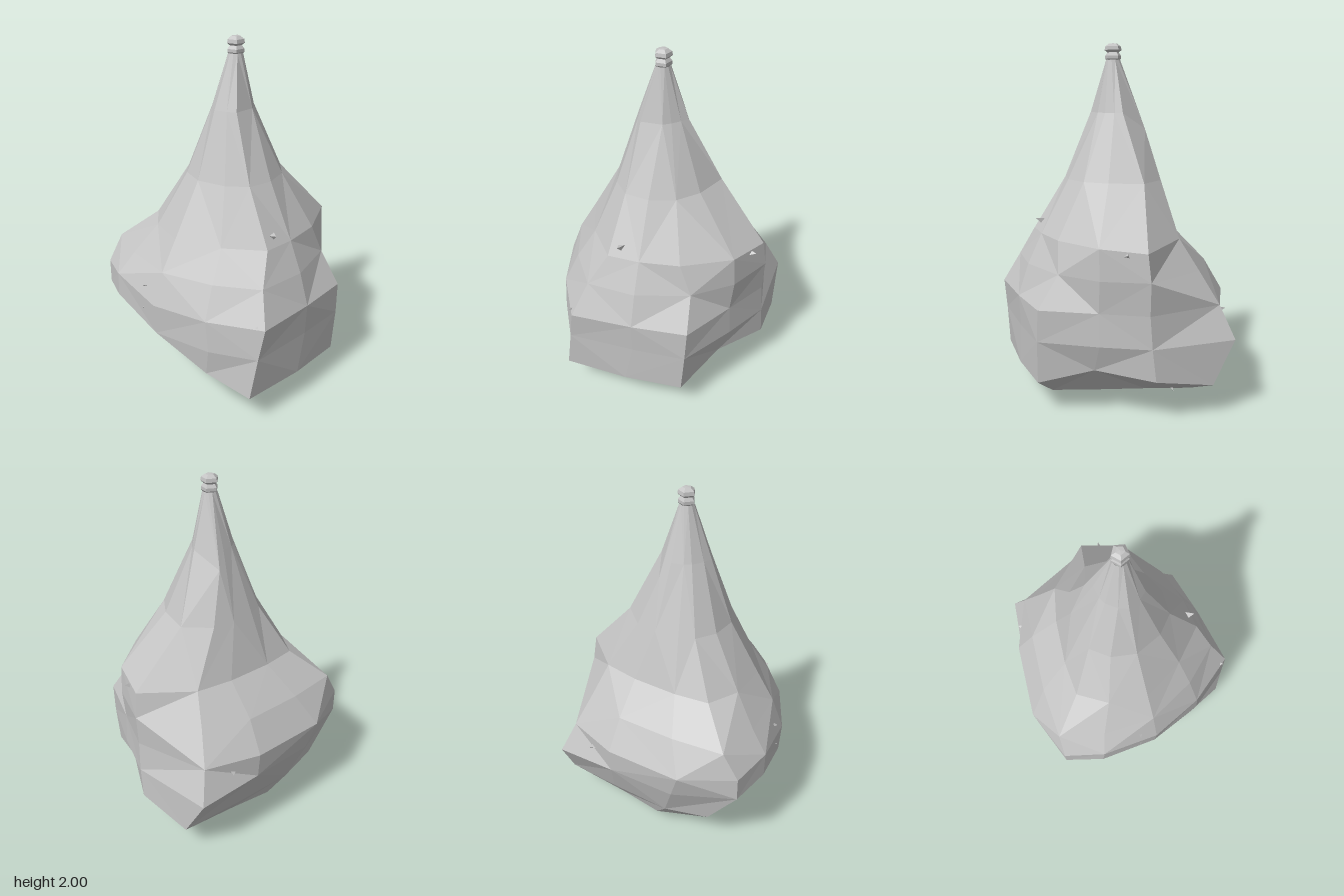
import * as THREE from 'three';

const COLS = 12;

// One cross-section: x, z pairs running front -> +x -> back -> -x,
// with optional height offsets per corner
function ring(y, xz, dy = []) {
  const pts = [];
  for (let i = 0; i < COLS; i++) {
    pts.push(new THREE.Vector3(xz[2 * i], y + (dy[i] ?? 0), xz[2 * i + 1]));
  }
  return pts;
}

// Flat-sided skin over the sections, closed to a point below
function skin(rings, bottom) {
  const pos = [];
  const tri = (...pts) => pts.forEach((p) => pos.push(p.x, p.y, p.z));
  for (let r = 0; r < rings.length - 1; r++) {
    const lo = rings[r], hi = rings[r + 1];
    for (let i = 0; i < COLS; i++) {
      const j = (i + 1) % COLS;
      if ((i + r) % 2) {
        tri(lo[i], lo[j], hi[j]);
        tri(lo[i], hi[j], hi[i]);
      } else {
        tri(lo[i], lo[j], hi[i]);
        tri(lo[j], hi[j], hi[i]);
      }
    }
  }
  for (let i = 0; i < COLS; i++) tri(rings[0][(i + 1) % COLS], rings[0][i], bottom);
  const g = new THREE.BufferGeometry();
  g.setAttribute('position', new THREE.Float32BufferAttribute(pos, 3));
  g.computeVertexNormals();
  return g;
}

export function createModel() {
  const model = new THREE.Group();
  const grey = new THREE.MeshStandardMaterial({ color: 0xc4c4c4, flatShading: true });
  grey.name = 'stoneGrey';

  const add = (name, geometry) => {
    const mesh = new THREE.Mesh(geometry, grey);
    mesh.name = name;
    model.add(mesh);
    return mesh;
  };

  // Faceted body sections, bottom to top
  const base = ring(0.09, [0, 0.45, 0.2, 0.46, 0.32, 0.22, 0.45, 0, 0.42, -0.28, 0.25, -0.37,
    0, -0.44, -0.14, -0.42, -0.21, -0.23, -0.2, 0, -0.23, 0.25, -0.2, 0.45],
  [0, 0, 0.02, 0.05, 0, 0.02, 0.01, 0.02, 0.01, 0.01, 0.01, 0.01]);
  const rim = ring(0.18, [-0.05, 0.59, 0.28, 0.56, 0.42, 0.28, 0.615, 0, 0.615, -0.33, 0.28, -0.44,
    -0.08, -0.51, -0.34, -0.5, -0.47, -0.31, -0.48, 0, -0.51, 0.33, -0.42, 0.58],
  [0, 0, 0.09, 0.06, 0, 0.04, 0.04, 0.06, 0.16, 0.11, 0.08, 0]);
  const belly = ring(0.42, [0, 0.59, 0.3, 0.565, 0.48, 0.27, 0.61, 0.02, 0.61, -0.46, 0.24, -0.54,
    -0.15, -0.59, -0.52, -0.54, -0.61, -0.33, -0.61, 0.02, -0.52, 0.36, -0.38, 0.6],
  [0, 0, 0, 0, 0, 0.03, 0.02, 0.07, 0.1, 0, 0, 0]);
  const waist = ring(0.6, [0, 0.6, 0.31, 0.56, 0.47, 0.27, 0.6, 0.03, 0.53, -0.4, 0.24, -0.55,
    -0.2, -0.625, -0.52, -0.54, -0.61, -0.32, -0.62, 0.02, -0.52, 0.34, -0.35, 0.62],
  [0, 0, 0, 0, 0, 0, 0, 0.03, 0.06, 0, 0, 0]);
  const chest = ring(0.78, [0, 0.54, 0.29, 0.44, 0.49, 0.27, 0.61, 0.03, 0.45, -0.31, 0.21, -0.45,
    -0.13, -0.51, -0.43, -0.53, -0.52, -0.28, -0.55, 0.02, -0.44, 0.31, -0.28, 0.53]);
  const shoulder = ring(0.95, [0, 0.46, 0.22, 0.42, 0.48, 0.27, 0.59, 0.04, 0.38, -0.22, 0.18, -0.29,
    -0.08, -0.34, -0.28, -0.35, -0.4, -0.2, -0.45, 0.02, -0.34, 0.27, -0.18, 0.46],
  [0, 0, 0, -0.02]);
  const slope = ring(1.25, [0, 0.3, 0.14, 0.25, 0.24, 0.14, 0.31, -0.04, 0.2, -0.18, 0.08, -0.22,
    -0.06, -0.23, -0.15, -0.21, -0.24, -0.12, -0.28, 0.02, -0.23, 0.18, -0.14, 0.28]);
  const throat = ring(1.62, [0.02, 0.13, 0.06, 0.1, 0.1, 0.06, 0.13, 0.02, 0.09, -0.125, 0.03, -0.1,
    -0.04, -0.095, -0.08, -0.08, -0.13, -0.03, -0.155, 0.02, -0.13, 0.09, -0.1, 0.135],
  [0, 0, 0, 0, -0.09]);
  const neck = slope.map((p, i) => {
    const a = (i / COLS) * Math.PI * 2;
    return new THREE.Vector3(-0.01 + 0.04 * Math.sin(a), 1.91, 0.03 + 0.04 * Math.cos(a));
  });
  const sections = [base, rim, belly, waist, chest, shoulder, slope, throat, neck];
  add('body', skin(sections, new THREE.Vector3(0.08, 0, -0.28)));

  // Five-sided double-beaded knob on the tip
  const profile = [[0.032, 1.9], [0.047, 1.915], [0.047, 1.932], [0.034, 1.95],
    [0.05, 1.963], [0.046, 1.983], [0.025, 1.998], [0, 2]];
  const knob = add('tipKnob', new THREE.LatheGeometry(profile.map(([r, y]) => new THREE.Vector2(r, y)), 5));
  knob.position.set(-0.01, 0, 0.03);
  knob.rotation.y = Math.PI;

  // Little three-sided thorns pointing out of the body: x, y, z, size
  const thorns = [
    [-0.11, 1.0, 0.42, 0.1], [0.55, 0.92, 0.14, 0.05], [0.39, 0.53, -0.48, 0.05],
    [-0.49, 0.62, -0.52, 0.05], [-0.59, 0.68, -0.08, 0.05], [-0.6, 0.54, -0.08, 0.045],
    [-0.37, 0.61, 0.58, 0.03], [0.46, 0.13, -0.15, 0.05],
  ];
  const up = new THREE.Vector3(0, 1, 0);
  for (const [x, y, z, s] of thorns) {
    const thorn = add('thorn', new THREE.ConeGeometry(s * 0.5, s, 3));
    thorn.position.set(x, y, z);
    thorn.quaternion.setFromUnitVectors(up, new THREE.Vector3(x, y < 0.2 ? -0.4 : 0.15, z).normalize());
  }

  return model;
}
